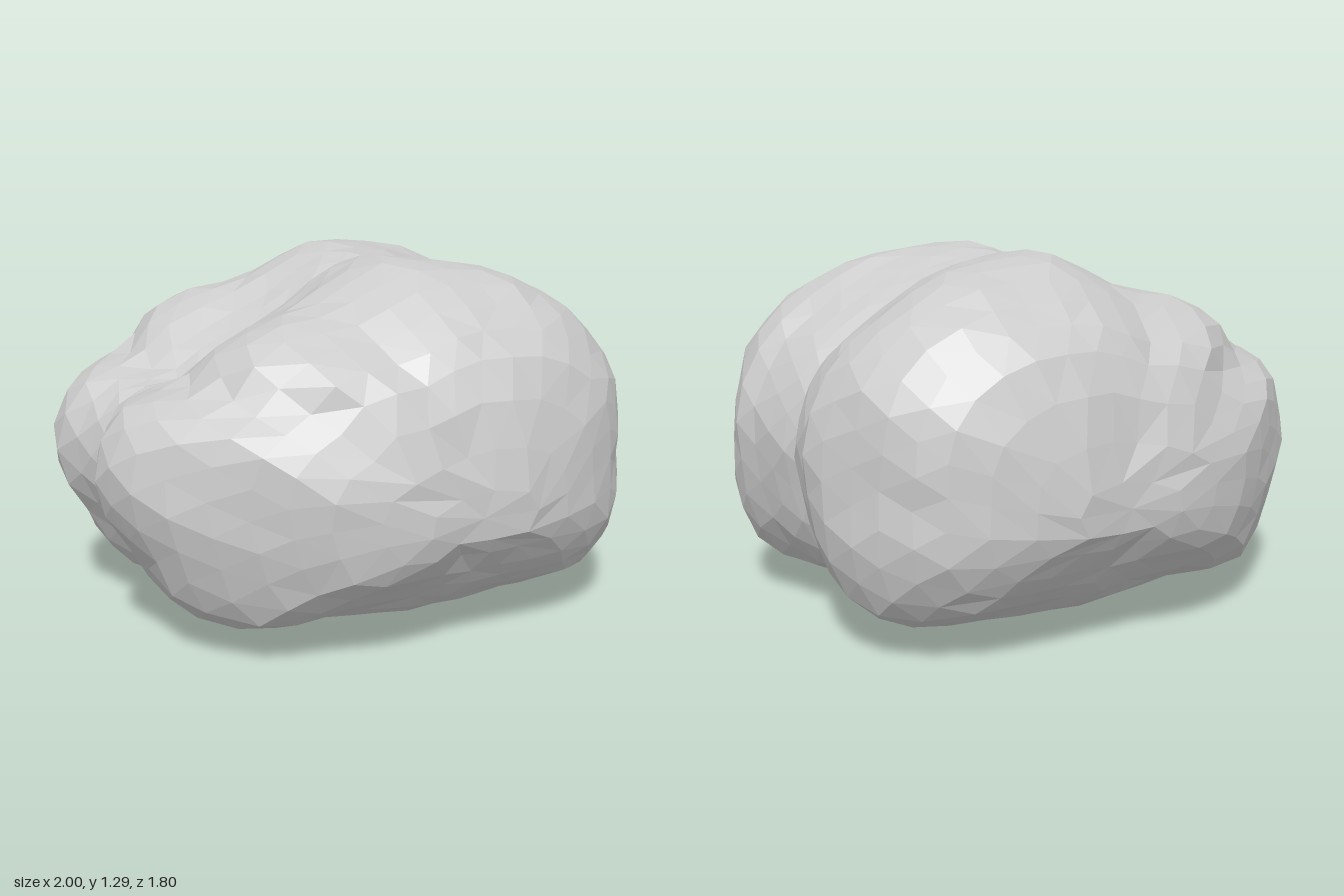
import * as THREE from 'three';

// Side outline (x, y), counter-clockwise from the blunt -x tip
const OUTLINE = [
  [-1, .62], [-.97, .5], [-.87, .34], [-.78, .2], [-.68, .12], [-.4, .08], [-.1, .02], [.06, 0],
  [.3, .04], [.68, .1], [.81, .16], [.9, .27], [.95, .38], [1, .63], [.97, .8], [.91, .93],
  [.75, 1.1], [.5, 1.24], [.25, 1.285], [.08, 1.295], [-.1, 1.23], [-.22, 1.17], [-.45, 1.13],
  [-.6, 1.05], [-.67, .95], [-.8, .9], [-.93, .82],
];
// Cross-sections from the middle groove outwards: z, xMin, xMax, yMin, yMax, segments
const SECTIONS = [
  [0, -.89, .89, .06, 1.265, 38], [.05, -.92, .92, .03, 1.275, 38], [.12, -.955, .95, .005, 1.285, 38],
  [.21, -1, .97, 0, 1.295, 38], [.3, -.985, 1, .005, 1.295, 38], [.4, -.94, .98, .025, 1.27, 38],
  [.5, -.86, .93, .065, 1.225, 38], [.6, -.755, .87, .12, 1.165, 36], [.69, -.645, .8, .18, 1.1, 34],
  [.76, -.54, .72, .24, 1.02, 30], [.82, -.42, .6, .3, .89, 25], [.865, -.26, .46, .38, .74, 18],
  [.895, -.1, .32, .44, .61, 9],
];

const bump = (v, centre, width) => Math.exp(-(((v - centre) / width) ** 2));
const hash = (i, j) => {
  const s = Math.sin(i * 127.1 + j * 311.7) * 43758.5453;
  return s - Math.floor(s);
};

// Sculpted vertex on one section
function surfacePoint(p, section, i, j) {
  const [z0, x0, x1, y0, y1] = section;
  const u = p.x, v = p.y / .6475 - 1;
  // Outer sections are squarer, most of all underneath
  const corner = 4 * u * u * v * v / (u * u + v * v) ** 2;
  const full = 1 + (v < 0 ? .125 : .08) * corner * THREE.MathUtils.smoothstep(z0, .22, .62);
  let x = (x0 + x1) / 2 + u * full * (x1 - x0) / 2;
  let y = (y0 + y1) / 2 + v * full * (y1 - y0) / 2;
  let z = z0;
  // Valleys behind and before the crown, widening towards the ends
  const top = THREE.MathUtils.smoothstep(y, .75, 1.05);
  const valley = bump(z, 0, .14 + .22 * Math.abs(x));
  y -= top * valley * (.11 * bump(x, -.47, .25) + .06 * bump(x, .6, .25));
  // Undercut below the flank and a notch at the widest part
  z -= .025 * bump(x, .08, .08) * THREE.MathUtils.smoothstep(z, .7, .88);
  z -= .02 * bump(y, .28 + .12 * x, .09) * bump(x, .2, .45) * THREE.MathUtils.smoothstep(z, .4, .7);
  // Small facets
  if (i > 0) {
    const k = 1.007 - .014 * hash(i, j);
    x *= k;
    y = .62 + (y - .62) * k;
    z += (hash(j, i) - .5) * (i < 3 || i > 8 ? .012 : .03);
  }
  return [THREE.MathUtils.clamp(x, -1, 1), Math.max(y, 0), z];
}

function hemisphere(side) {
  const curve = new THREE.CatmullRomCurve3(
    OUTLINE.map(([x, y]) => new THREE.Vector3(x, y, 0)), true, 'centripetal');
  const positions = [], index = [], starts = [];
  const tri = (a, b, c) => (side > 0 ? index.push(a, b, c) : index.push(a, c, b));
  const offset = (i) => (i % 2 ? 0 : .5); // staggered rows

  SECTIONS.forEach((section, i) => {
    const n = section[5];
    starts.push(positions.length / 3);
    for (let j = 0; j < n; j++) {
      const [x, y, z] = surfacePoint(curve.getPointAt((j + offset(i)) / n), section, i, j);
      positions.push(x, y, z * side);
    }
  });
  // Stitch neighbouring rings, whatever their segment counts
  for (let i = 0; i < SECTIONS.length - 1; i++) {
    const n = SECTIONS[i][5], m = SECTIONS[i + 1][5];
    const inner = (j) => starts[i] + j % n, outer = (j) => starts[i + 1] + j % m;
    let a = 0, b = 0;
    while (a < n || b < m) {
      const nextA = (a + 1 + offset(i)) / n, nextB = (b + 1 + offset(i + 1)) / m;
      if (b >= m || (a < n && nextA <= nextB)) {
        tri(inner(a), inner(a + 1), outer(b));
        a++;
      } else {
        tri(inner(a), outer(b + 1), outer(b));
        b++;
      }
    }
  }
  // Closing fan on the outer side
  const last = starts.at(-1), n = SECTIONS.at(-1)[5], centre = positions.length / 3;
  positions.push(.11, .52, .885 * side);
  for (let j = 0; j < n; j++) tri(last + j, last + (j + 1) % n, centre);

  const geometry = new THREE.BufferGeometry();
  geometry.setAttribute('position', new THREE.Float32BufferAttribute(positions, 3));
  geometry.setIndex(index);
  const flat = geometry.toNonIndexed();
  flat.computeVertexNormals();
  return flat;
}

export function createModel() {
  const group = new THREE.Group();
  group.name = 'brain';
  const material = new THREE.MeshStandardMaterial({
    color: 0xcccccc, flatShading: true, side: THREE.DoubleSide,
  });
  for (const [name, side] of [['frontHemisphere', 1], ['backHemisphere', -1]]) {
    const mesh = new THREE.Mesh(hemisphere(side), material);
    mesh.name = name;
    group.add(mesh);
  }
  return group;
}
